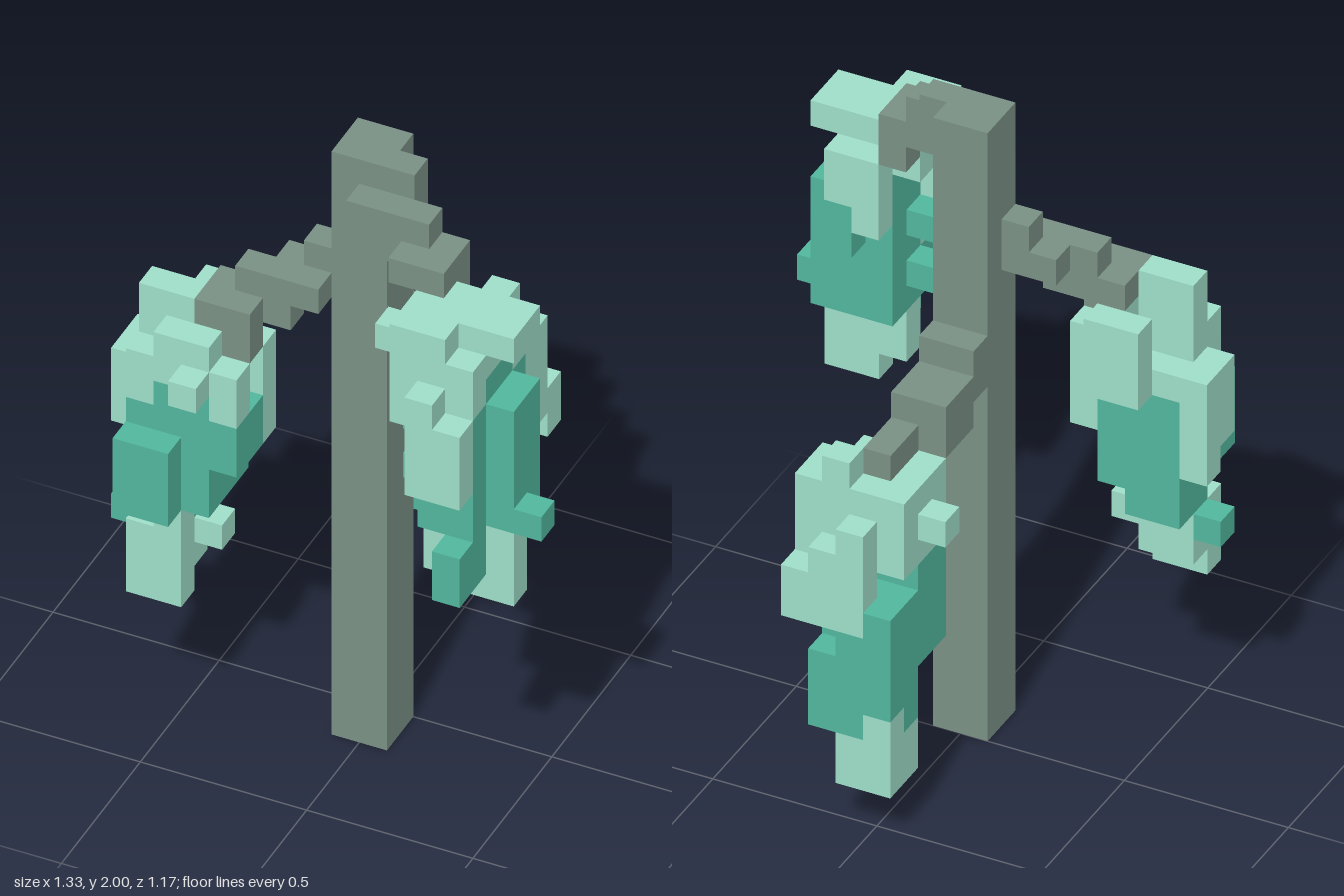
import * as THREE from 'three';
import { mergeGeometries } from 'three/addons/utils/BufferGeometryUtils.js';

const U = 1 / 12; // size of one block

const mat = (name, color) => new THREE.MeshStandardMaterial({ name, color });

// Blocks are given as [x0, x1, y0, y1, z0, z1] in block units.
const trunk = [[-1, 1, 0, 24, 0, 2]];

const leftBranch = [
  [1, 2, 22, 24, 1, 2], [0, 3, 22, 23, 2, 3], [1, 4, 21, 22, 2, 3],
  [2, 4, 21, 22, 3, 4], [3, 4, 20, 21, 2, 3],
];
const rightBranch = [
  [-2, -1, 18, 20, 1, 2], [-3, -1, 18, 19, 1, 3], [-4, -3, 18, 19, 2, 3],
  [-5, -2, 17, 18, 2, 3], [-5, -3, 17, 18, 3, 4], [-4, -3, 16, 17, 3, 4],
];
const backBranch = [
  [-1, 1, 14, 16, -1, 0], [-1, 1, 13, 15, -3, -1], [0, 1, 13, 14, -5, -3],
];

const leftDark = [
  [4, 6, 13, 19, 3, 5], [6, 7, 13, 18, 3, 5], [7, 8, 13, 14, 4, 5],
  [3, 4, 16, 17, 4, 5], [3, 4, 14, 15, 4, 5], [4, 6, 13, 15, 5, 6],
  [5, 6, 15, 18, 5, 6], [5, 6, 11, 13, 5, 7], [5, 6, 16, 18, 2, 3],
];
const leftLight = [
  [3, 6, 19, 21, 3, 5], [3, 5, 17, 21, 5, 6], [5, 7, 20, 21, 3, 5],
  [5, 6, 18, 20, 5, 6], [2, 3, 19, 20, 4, 5], [4, 5, 15, 19, 6, 7],
  [5, 6, 15, 18, 6, 7], [4, 5, 15, 17, 5, 6], [5, 7, 10, 13, 4, 5],
  [4, 5, 11, 13, 4, 5], [4, 6, 18, 20, 2, 3], [4, 5, 17, 18, 2, 3],
];

const rightDark = [
  [-7, -4, 10, 14, 2, 5], [-6, -4, 14, 15, 3, 5], [-4, -3, 12, 14, 3, 5],
  [-7, -5, 10, 13, 5, 6], [-7, -5, 9, 10, 2, 4], [-8, -7, 8, 9, 3, 4],
];
const rightLight = [
  [-7, -5, 15, 18, 3, 4], [-7, -5, 14, 15, 2, 3], [-7, -6, 14, 15, 3, 5],
  [-6, -4, 14, 17, 1, 2], [-5, -4, 14, 17, 2, 3], [-6, -4, 15, 17, 3, 5],
  [-8, -7, 11, 15, 2, 3], [-8, -7, 12, 15, 3, 4], [-7, -4, 15, 16, 4, 5],
  [-4, -3, 14, 16, 4, 5], [-4, -3, 12, 16, 2, 3], [-5, -4, 15, 16, 5, 6],
  [-7, -5, 6, 9, 4, 5], [-7, -5, 7, 9, 3, 4], [-5, -4, 8, 9, 3, 4], [-6, -5, 9, 10, 4, 5],
];

const backDark = [
  [-1, 2, 6, 10, -5, -3], [-1, 2, 4, 9, -6, -5], [-1, 0, 5, 9, -7, -6],
  [0, 1, 4, 8, -7, -6], [1, 2, 4, 7, -7, -6],
];
const backLight = [
  [1, 3, 9, 13, -6, -4], [1, 2, 13, 14, -6, -5], [-1, 1, 10, 13, -6, -3],
  [0, 1, 8, 12, -7, -6], [1, 2, 8, 11, -7, -6], [2, 3, 8, 10, -7, -6],
  [1, 2, 10, 13, -4, -3], [-2, -1, 11, 12, -5, -4], [0, 1, 11, 12, -3, -2],
  [-1, 1, 2, 4, -7, -5], [-1, 0, 4, 5, -7, -6], [0, 1, 4, 5, -5, -4],
];

// One square facing each of the six directions
const sides = [
  [1, 0, 0], [-1, 0, 0], [0, 1, 0], [0, -1, 0], [0, 0, 1], [0, 0, -1],
].map(([x, y, z]) => {
  const face = new THREE.PlaneGeometry(U, U);
  if (x) face.rotateY(x * Math.PI / 2);
  if (y) face.rotateX(-y * Math.PI / 2);
  if (z < 0) face.rotateY(Math.PI);
  face.translate(x * U / 2, y * U / 2, z * U / 2);
  return { x, y, z, face };
});

export function createModel() {
  const group = new THREE.Group();
  group.name = 'hangingTree';
  const bark = mat('bark', 0x7a9084);
  const light = mat('light leaves', 0x9edec8);
  const dark = mat('dark leaves', 0x51b69d);

  // Later parts take over cells they share with earlier ones
  const parts = [
    ['leftDarkLeaves', leftDark, dark], ['leftLightLeaves', leftLight, light],
    ['rightDarkLeaves', rightDark, dark], ['rightLightLeaves', rightLight, light],
    ['backDarkLeaves', backDark, dark], ['backLightLeaves', backLight, light],
    ['leftBranch', leftBranch, bark], ['rightBranch', rightBranch, bark],
    ['backBranch', backBranch, bark], ['trunk', trunk, bark],
  ];
  const cells = new Map();
  for (const [name, boxes] of parts) {
    for (const [x0, x1, y0, y1, z0, z1] of boxes) {
      for (let x = x0; x < x1; x++)
        for (let y = y0; y < y1; y++)
          for (let z = z0; z < z1; z++) cells.set(`${x},${y},${z}`, { x, y, z, name });
    }
  }

  // Only the outer faces of each part are built
  for (const [name, , material] of parts) {
    const faces = [];
    for (const c of cells.values()) {
      if (c.name !== name) continue;
      for (const s of sides) {
        if (cells.has(`${c.x + s.x},${c.y + s.y},${c.z + s.z}`)) continue;
        faces.push(s.face.clone().translate((c.x + 0.5) * U, (c.y + 0.5) * U, (c.z + 0.5) * U));
      }
    }
    const mesh = new THREE.Mesh(mergeGeometries(faces), material);
    mesh.name = name;
    group.add(mesh);
  }
  return group;
}
